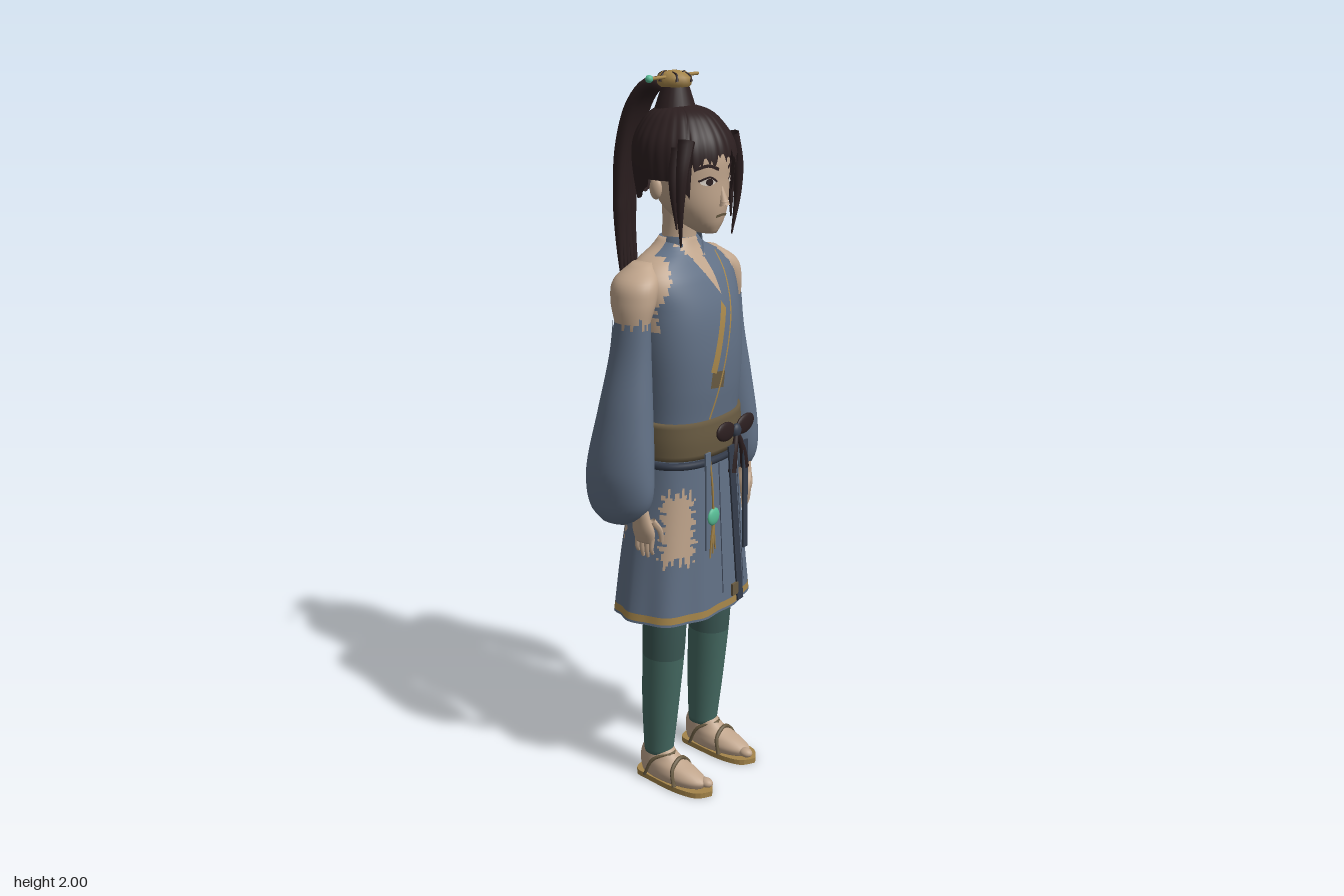
import * as THREE from 'three';

const mat = (name, color, side = THREE.DoubleSide) => new THREE.MeshStandardMaterial({ name, color, side });
const skin = mat('skin', 0xc0a58c), hair = mat('dark hair', 0x2c1f20), cloth = mat('blue cloth', 0x617085);
const belt = mat('brown sash', 0x695b42), gold = mat('gold', 0xa5854a), jade = mat('jade', 0x58bd96);
const teal = mat('teal trousers', 0x456a62), deepTeal = mat('deep teal', 0x3b5854);
const navy = mat('navy cord', 0x343c4b), white = mat('eye white', 0xd8d0c6);

// Cross-sections are rows of [y, centre x, half width, front z, back z], rising in y
function at(sec, y) {
  let i = 0;
  while (i < sec.length - 2 && y > sec[i + 1][0]) i++;
  const a = sec[i], b = sec[i + 1], p = sec[i - 1] || a, n = sec[i + 2] || b, h = b[0] - a[0];
  const u = Math.min(1, Math.max(0, (y - a[0]) / h)), u2 = u * u, u3 = u2 * u;
  return a.map((v, k) => {
    const m0 = (b[k] - p[k]) / (b[0] - p[0]) * h, m1 = (n[k] - v) / (n[0] - a[0]) * h;
    return v * (2 * u3 - 3 * u2 + 1) + m0 * (u3 - 2 * u2 + u) + b[k] * (3 * u2 - 2 * u3) + m1 * (u3 - u2);
  });
}
const frontZ = (sec, x, y, pow = 2) => {
  const [, cx, rx, zf, zb] = at(sec, y), d = Math.min(1, Math.abs((x - cx) / rx));
  return (zf + zb) / 2 + (zf - zb) / 2 * Math.pow(1 - Math.pow(d, pow), 1 / pow);
};

// Smooth skin over cross-sections; rule picks the material of each cell (-1 leaves a hole)
function loft(name, mats, sec, o = {}) {
  const { seg = 32, rings = 24, pow = 2, s = 1, edge, ripple, rule, open } = o;
  const pos = [], cells = [].concat(mats).map(() => []);
  const y0 = sec[0][0], y1 = sec[sec.length - 1][0];
  for (let j = 0; j <= rings; j++) for (let i = 0; i < seg; i++) {
    const a = i / seg * Math.PI * 2, t = j / rings, low = edge ? edge(a > Math.PI ? a - 2 * Math.PI : a) : y0;
    const y = low + (y1 - low) * t, [, cx, rx, zf, zb] = at(sec, y), r = ripple ? ripple(a, t) : 1;
    const f = v => Math.sign(v) * Math.pow(Math.abs(v), 2 / pow) * r;
    pos.push(cx * s + rx * f(Math.sin(a)), y, (zf + zb) / 2 + (zf - zb) / 2 * f(Math.cos(a)));
  }
  const P = (k, c) => pos[k * 3 + c];
  for (let j = 0; j < rings; j++) for (let i = 0; i < seg; i++) {
    const n = (i + 1) % seg, a = j * seg + i, b = j * seg + n, c = b + seg, d = a + seg;
    const mid = k => (P(a, k) + P(b, k) + P(c, k) + P(d, k)) / 4;
    const m = rule ? rule(mid(0), mid(1), mid(2)) : 0;
    if (m >= 0) cells[m].push(a, b, c, a, c, d);
  }
  if (!open) [0, rings].forEach(j => {
    const e = at(sec, j ? y1 : y0), k = pos.length / 3;
    pos.push(e[1] * s, e[0], (e[3] + e[4]) / 2);
    for (let i = 0; i < seg; i++) {
      const a = j * seg + i, b = j * seg + (i + 1) % seg;
      cells[0].push(...(j ? [a, b, k] : [b, a, k]));
    }
  });
  const g = new THREE.BufferGeometry();
  g.setAttribute('position', new THREE.Float32BufferAttribute(pos, 3));
  g.setIndex(cells.flat());
  if (cells.length > 1) cells.reduce((st, c, k) => (g.addGroup(st, c.length, k), st + c.length), 0);
  g.computeVertexNormals();
  return named(name, g, mats);
}
function named(name, g, m, x = 0, y = 0, z = 0) {
  const mesh = new THREE.Mesh(g, m);
  mesh.name = name;
  mesh.position.set(x, y, z);
  return mesh;
}
// Tube whose radius follows a rule along its path
function strand(name, m, pts, radius, n = 20, sides = 8) {
  const curve = new THREE.CatmullRomCurve3(pts.map(p => new THREE.Vector3(...p)));
  const g = new THREE.TubeGeometry(curve, n, 1, sides), p = g.attributes.position, v = new THREE.Vector3();
  for (let i = 0; i < p.count; i++) {
    const t = Math.floor(i / (sides + 1)) / n, c = curve.getPointAt(t);
    v.fromBufferAttribute(p, i).sub(c).multiplyScalar(radius(t)).add(c);
    p.setXYZ(i, v.x, v.y, v.z);
  }
  g.computeVertexNormals();
  return named(name, g, m);
}
// Flat strip lying on the front of a lofted part
function ribbon(name, m, sec, pts, w, lift = 0.004, pow = 2) {
  const curve = new THREE.CatmullRomCurve3(pts.map(p => new THREE.Vector3(p[0], p[1], 0)));
  const g = new THREE.PlaneGeometry(1, 1, 2, 20), p = g.attributes.position;
  for (let i = 0; i < p.count; i++) {
    const t = Math.floor(i / 3) / 20, c = curve.getPointAt(t), d = curve.getTangentAt(t), k = (i % 3 - 1) * w / 2;
    const x = c.x - d.y * k, y = c.y + d.x * k;
    p.setXYZ(i, x, y, frontZ(sec, x, y, pow) + lift);
  }
  g.computeVertexNormals();
  return named(name, g, m);
}
function ball(name, m, x, y, z, rx, ry, rz) {
  const b = named(name, new THREE.SphereGeometry(1, 20, 14), m, x, y, z);
  b.scale.set(rx, ry, rz);
  return b;
}

const torsoSec = [[1, 0, .158, .135, -.088], [1.1, 0, .158, .142, -.088], [1.2, 0, .163, .152, -.094], [1.3, 0, .17, .152, -.105],
  [1.4, 0, .175, .138, -.112], [1.48, 0, .178, .106, -.092], [1.525, 0, .145, .075, -.078], [1.555, 0, .08, .055, -.062], [1.58, 0, .05, .045, -.05]];
const skirtSec = [[.54, 0, .222, .166, -.143], [.7, 0, .2, .157, -.13], [.9, 0, .172, .146, -.105], [1.01, 0, .16, .14, -.09]];
const headSec = [[1.598, 0, .022, .118, .06], [1.625, 0, .055, .13, .01], [1.67, 0, .085, .138, -.04], [1.73, 0, .1, .138, -.07],
  [1.8, 0, .105, .136, -.085], [1.86, 0, .085, .11, -.07], [1.895, 0, .03, .06, -.02]];
const hairSec = [[1.57, 0, .112, .13, -.08], [1.68, 0, .12, .145, -.105], [1.77, 0, .128, .155, -.12], [1.83, 0, .12, .146, -.118],
  [1.88, 0, .09, .112, -.094], [1.905, 0, .062, .075, -.065], [1.92, 0, .02, .015, -.025]];
const jag = a => Math.sin(a * 9) * .5 + Math.sin(a * 23 + 1) * .35 + Math.sin(a * 41) * .15;

function createModel() {
  const model = new THREE.Group();
  const add = (...m) => model.add(...m);

  // Torso: cloth in front, torn away over the shoulders and back
  add(loft('torso', [cloth, skin], torsoSec, { seg: 96, rings: 60, pow: 2.3, rule: (x, y, z) => {
    const ax = Math.abs(x);
    if (z < 0) return y > 1.22 + .06 * jag(x * 14) + ax * .35 && !(y > 1.49 && y < 1.5 && x > .02 && x < .09) ? 1 : 0;
    if (y > 1.36 && ax > .168 - Math.max(0, y - 1.42) * .5 + .006 * jag(y * 30)) return 1;
    return y > 1.42 && x > -.055 + (1.56 - y) * .5 && x < .018 ? 1 : 0;
  } }));
  add(loft('neck', skin, [[1.5, 0, .062, .05, -.055], [1.58, 0, .046, .045, -.045], [1.7, 0, .047, .055, -.045]]));
  add(loft('collar', cloth, [[1.515, 0, .085, .08, -.062], [1.545, 0, .066, .066, -.058], [1.585, 0, .058, .06, -.055]],
    { open: true, seg: 64, rule: (x, y, z) => z < 0 || (z > .03 && x > -.045 && x < .005 + (y - 1.515) * .3) ? -1 : 0 }));
  const lapel = [[.055, 1.535], [.02, 1.4], [-.03, 1.25], [-.075, 1.11]];
  add(ribbon('lapelEdge', gold, torsoSec, lapel.map(p => [p[0] + .02, p[1]]), .006, .004, 2.3));
  add(ribbon('lapelBand', gold, torsoSec, [[.012, 1.42], [-.018, 1.34], [-.052, 1.24]], .022, .004, 2.3));
  add(ribbon('lapelPatch', belt, torsoSec, [[-.03, 1.24], [-.035, 1.195]], .05, .003, 2.3));
  add(ribbon('neckBand', cloth, torsoSec, [[-.055, 1.54], [-.02, 1.47], [.022, 1.405]], .016, .005, 2.3));

  // Skirt with worn patches and a gold hem
  add(loft('skirt', [cloth, skin, gold, deepTeal], skirtSec, { seg: 128, rings: 70, pow: 2.3, open: true,
    ripple: (a, t) => 1 + .02 * (1 - t) * Math.sin(a * 11 + Math.sin(a * 3)),
    rule: (x, y, z) => {
      const a = Math.atan2(x, z) * 180 / Math.PI, n = jag(a / 9) * .025, m = jag(y * 25) * 5;
      if (y < .573) return y > .548 && y < .568 ? 2 : 0;
      if (a + m > -68 && a + m < -40 && y > .72 + n && y < .91 + n) return 1;
      if (a + m > 54 && a + m < 84 && y > .69 + n && y < .87 + n) return y > .855 ? 3 : 1;
      return Math.abs(a) + m > 108 && Math.abs(a) + m < 160 && y > .79 + n * 2.2 && y < .93 + n ? 1 : 0;
    } }));
  for (const [x, w] of [[.075, .012], [-.02, .01], [.055, .008]])
    add(ribbon('skirtFold', navy, skirtSec, [[x, .98], [x * 1.15, .6]], w * .4, .008, 2.3));

  // Sash, cord and bow
  add(loft('sash', belt, [[1.005, 0, .168, .15, -.1], [1.055, 0, .17, .153, -.102], [1.108, 0, .167, .15, -.098]], { seg: 64, rings: 8, pow: 2.3 }));
  add(loft('cord', navy, [[.98, 0, .168, .147, -.102], [.99, 0, .172, .151, -.106], [1, 0, .168, .147, -.102]], { seg: 64, rings: 4, pow: 2.3 }));
  add(ball('bowKnot', navy, .035, 1.06, .167, .017, .02, .012));
  for (const s of [-1, 1]) {
    const loop = ball('bowLoop', hair, .035 + s * .045, 1.068, .164, .042, .027, .009);
    loop.rotation.z = s * .15;
    add(loop);
    add(strand('bowTail', hair, [[.035, 1.06, .168], [.035 + s * .018, 1.01, .175], [.035 + s * .03, .95, .176]], t => .006 + .006 * t));
  }
  for (const [x0, x1, y1, w] of [[.025, -.002, .57, .026], [.05, .06, .72, .02], [-.085, -.09, .75, .022]]) {
    const g = new THREE.BoxGeometry(w, 1.03 - y1, .005);
    const tail = named('hangingRibbon', g, x0 > 0 ? navy : cloth, (x0 + x1) / 2, (1.03 + y1) / 2, x0 > 0 ? .185 : .163);
    tail.rotation.set(x0 > 0 ? -.04 : 0, 0, (x0 - x1) / (y1 - 1.03) * -1);
    add(tail);
  }
  add(named('ribbonEnd', new THREE.BoxGeometry(.026, .035, .007), belt, 0, .61, .193));

  // Jade pendant on the right hip
  add(strand('pendantCord', gold, [[-.08, 1.03, .16], [-.075, .93, .168], [-.07, .86, .168]], () => .003));
  add(ball('pendantBead', jade, -.068, .843, .167, .025, .025, .009));
  for (const k of [-1, 0, 1])
    add(strand('tassel', gold, [[-.068, .82, .167], [-.07 + k * .006, .78, .167], [-.07 + k * .012, .735 + .01 * k, .167]], t => .005 - .003 * t));

  for (const s of [-1, 1]) {
    // Shoulder, sleeve and hand
    add(loft('shoulder', skin, [[1.33, .2, .03, .045, -.04], [1.38, .203, .037, .052, -.047], [1.44, .19, .05, .062, -.068],
      [1.49, .172, .052, .055, -.07], [1.53, .14, .025, .015, -.04]], { s }));
    add(loft('sleeve', cloth, [[.84, .245, .02, .01, -.075], [.87, .243, .045, .06, -.105], [.92, .243, .057, .088, -.119],
      [1, .241, .065, .09, -.115], [1.15, .226, .059, .075, -.085], [1.3, .209, .045, .06, -.06], [1.42, .202, .039, .053, -.05]],
      { s, seg: 40, rings: 36, edge: undefined, rule: (x, y, z) => y > 1.385 + .02 * jag(Math.atan2(x - .2 * s, z)) ? -1 : 0 }));
    add(loft('hand', skin, [[.795, .225, .012, .085, .025], [.83, .23, .017, .09, .02], [.87, .237, .016, .08, .025], [.92, .242, .02, .07, .02]], { s }));
    for (let k = 0; k < 4; k++)
      add(strand('finger', skin, [[s * .226, .81, .032 + k * .016], [s * .226, .775, .03 + k * .016],
        [s * .218, .75 + (k === 0 || k === 3 ? .012 : 0), .028 + k * .016]], t => .0085 - .004 * t, 8));
    add(strand('thumb', skin, [[s * .225, .86, .08], [s * .207, .83, .092], [s * .2, .795, .092]], t => .01 - .005 * t, 8));

    // Leg, foot and sandal
    add(loft('trouserLeg', [teal, deepTeal], [[.085, .108, .038, .052, -.037], [.25, .109, .048, .072, -.04], [.45, .109, .056, .092, -.034],
      [.64, .11, .058, .1, -.03]], { s, rings: 40, rule: (x, y) => y > .4 ? 1 : 0 }));
    add(loft('foot', skin, [[.016, .11, .042, .17, -.048], [.035, .11, .045, .175, -.052], [.055, .11, .042, .14, -.052],
      [.075, .109, .037, .085, -.05], [.11, .108, .032, .045, -.036]], { s }));
    const outline = new THREE.Shape().setFromPoints(new THREE.SplineCurve([[0, -.2], [.038, -.17], [.05, -.1], [.042, 0], [.034, .045], [0, .057],
      [-.034, .045], [-.042, 0], [-.05, -.1], [-.038, -.17], [0, -.2]].map(p => new THREE.Vector2(...p))).getPoints(40));
    const sole = named('sandalSole', new THREE.ExtrudeGeometry(outline, { depth: .016, bevelEnabled: false }), gold, s * .11, 0, 0);
    sole.rotation.x = -Math.PI / 2;
    add(sole);
    add(strand('toeStrap', belt, [[s * .062, .015, .1], [s * .075, .06, .085], [s * .11, .082, .085], [s * .145, .06, .085], [s * .158, .015, .1]], () => .006));
    add(strand('ankleStrap', belt, [[s * .065, .015, -.01], [s * .068, .075, .02], [s * .11, .09, .062], [s * .15, .075, .02], [s * .155, .015, -.01]], () => .005));
    add(ball('toe', skin, s * .1, .03, .172, .016, .014, .022));

    // Face features, ear and side locks
    const patch = (name, m, x, y, rx, ry, lift) => {
      const g = new THREE.CircleGeometry(1, 24), p = g.attributes.position;
      for (let i = 0; i < p.count; i++) {
        const px = x + p.getX(i) * rx, py = y + p.getY(i) * ry;
        p.setXYZ(i, px, py, frontZ(headSec, px, py) + lift);
      }
      g.computeVertexNormals();
      return named(name, g, m);
    };
    add(patch('eyeWhite', white, s * .047, 1.735, .019, .009, .003));
    add(patch('iris', hair, s * .046, 1.735, .009, .009, .005));
    add(ribbon('upperLid', hair, headSec, [[s * .024, 1.735], [s * .045, 1.747], [s * .07, 1.738]], .005));
    add(ribbon('eyebrow', hair, headSec, [[s * .02, 1.765], [s * .05, 1.776], [s * .078, 1.768]], .008));
    add(ball('ear', skin, s * .105, 1.715, .005, .012, .028, .018));
    add(strand('sideLock', hair, [[s * .095, 1.84, .095], [s * .12, 1.76, .1], [s * .125, 1.68, .098], [s * .112, 1.575, .09]], t => .02 * (1 - t) + .002));
    add(strand('sideLock', hair, [[s * .1, 1.82, .07], [s * .123, 1.73, .075], [s * .119, 1.62, .082]], t => .018 * (1 - t) + .002));
  }

  // Head
  add(loft('head', skin, headSec, { seg: 40, rings: 36 }));
  const nose = named('nose', new THREE.ConeGeometry(.014, .062, 12), skin, 0, 1.702, .139);
  nose.rotation.x = -.2;
  add(nose, ball('noseTip', skin, 0, 1.68, .145, .012, .009, .011));
  add(ribbon('mouth', belt, headSec, [[-.022, 1.645], [0, 1.648], [.022, 1.645]], .007));

  // Hair cap with combed ridges and a ragged fringe
  add(loft('hairCap', hair, hairSec, { seg: 160, rings: 30, open: true, ripple: a => 1 + .018 * Math.abs(Math.sin(a * 14)),
    edge: a => {
      const d = Math.abs(a) * 180 / Math.PI;
      if (d < 48) return 1.8 - d * .0005 + .02 * jag(a * 2 + .6);
      if (d < 70) return 1.7 + .012 * jag(a * 2);
      return d < 100 ? 1.74 : 1.685 + Math.max(0, 120 - d) * .002 + .004 * jag(a);
    } }));

  // Topknot, crown and hairpin
  add(named('topknot', new THREE.CylinderGeometry(.036, .054, .055, 24), hair, 0, 1.932, -.012));
  const crown = named('crown', new THREE.LatheGeometry([[.03, -.024], [.042, -.012], [.043, .006], [.03, .018], [0, .023]].map(p => new THREE.Vector2(...p)), 16), gold, 0, 1.977, -.015);
  crown.scale.z = 1.1;
  add(crown);
  for (let k = 0; k < 6; k++) {
    const a = k * Math.PI / 3 + .3, c = Math.cos(a), n = Math.sin(a);
    add(strand('crownGroove', hair, [[c * .044, 1.972, -.015 + n * .048], [c * .037, 1.989, -.015 + n * .041], [c * .024 - n * .008, 1.996, -.015 + n * .025 + c * .008]], t => .004 - .002 * t, 8));
  }
  const pin = named('hairpin', new THREE.CylinderGeometry(.0045, .0045, .2, 10), gold, 0, 1.984, -.015);
  pin.rotation.z = Math.PI / 2;
  add(pin, ball('hairpinBead', jade, -.104, 1.984, -.015, .01, .01, .01));

  // Ponytail arching back and falling in separate strands
  for (let k = -3; k <= 3; k++) {
    const x = k * .0075, e = Math.abs(k * 7 % 4) * .018;
    add(strand('ponytail', hair, [[x * .6, 1.955, -.03], [x, 1.965, -.075], [x * 1.2, 1.92, -.125], [x * 1.2, 1.8, -.168],
      [x * 1.1, 1.62, -.183], [x, 1.47, -.172 + k % 2 * .006], [x * 1.2, 1.365 + e, -.152 - e * .4]],
      t => t < .6 ? .015 + .004 * Math.sin(t * 5) : .0155 * (1 - (t - .6) / .4) + .0015, 36));
  }
  return model;
}

export { createModel };
